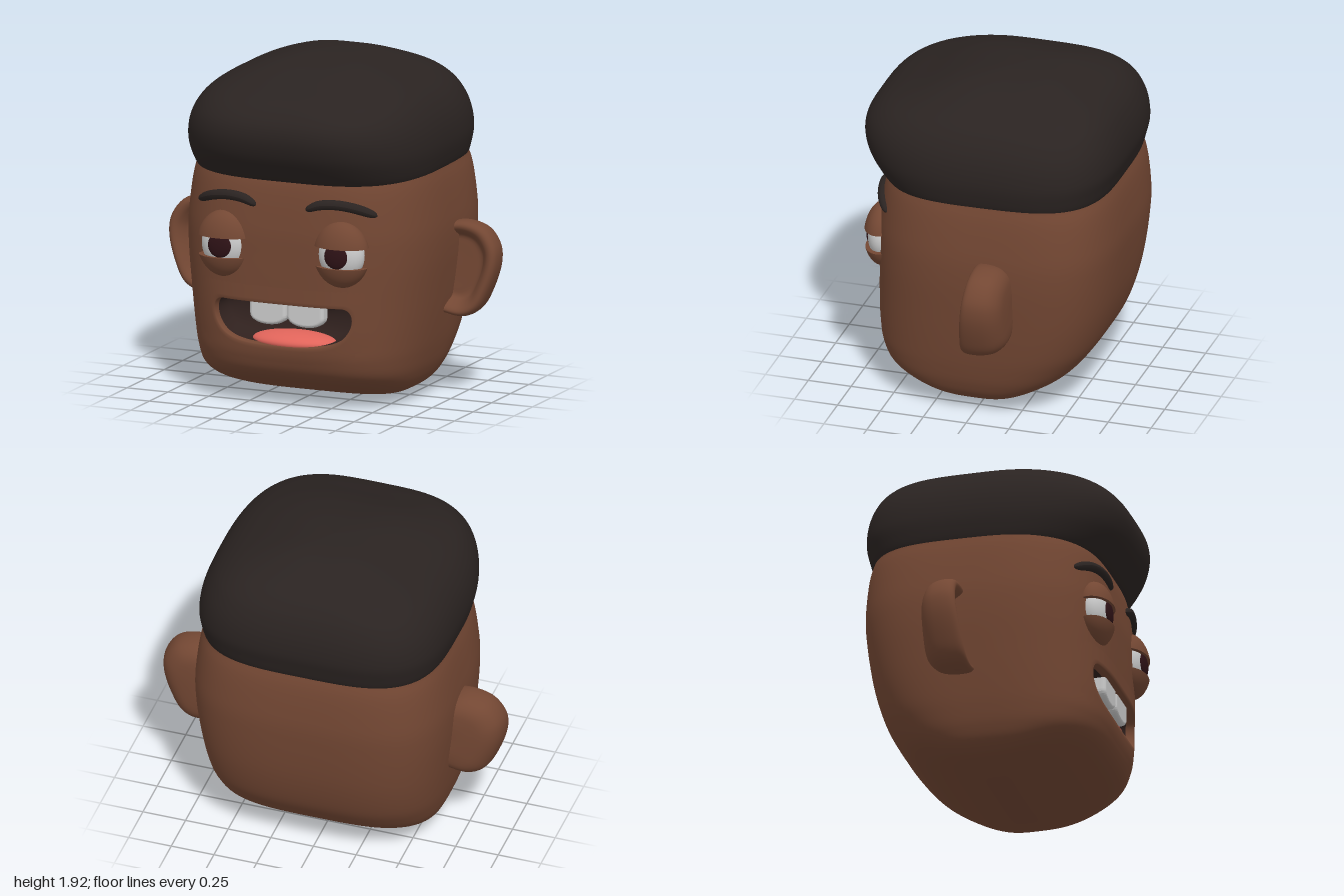
import * as THREE from 'three';

const V = (x, y, z) => new THREE.Vector3(x, y, z);
const mat = (color, side = THREE.FrontSide) => new THREE.MeshStandardMaterial({ color, side, roughness: 0.8 });
const SKIN = 0x734733, HAIR = 0x2a2321;

function add(parent, name, geometry, material) {
  const mesh = new THREE.Mesh(geometry, material);
  mesh.name = name;
  parent.add(mesh);
  return mesh;
}

// Skin closed rings of points into a smooth surface; skip(center) leaves holes
function loft(rings, skip = () => false) {
  const n = rings[0].length, index = [];
  for (let r = 0; r < rings.length - 1; r++) {
    for (let i = 0; i < n; i++) {
      const j = (i + 1) % n;
      const center = rings[r][i].clone().add(rings[r + 1][j]).multiplyScalar(0.5);
      if (skip(center)) continue;
      const a = r * n + i, b = r * n + j;
      index.push(a, a + n, b, b, a + n, b + n);
    }
  }
  const geo = new THREE.BufferGeometry().setFromPoints(rings.flat());
  geo.setIndex(index);
  geo.computeVertexNormals();
  return geo;
}

// Profile rows are [y, half width, front z, back z]
function profile(rows) {
  const a = new THREE.CatmullRomCurve3(rows.map(r => V(r[0], r[1], r[2])), false, 'catmullrom');
  const b = new THREE.CatmullRomCurve3(rows.map(r => V(r[3], 0, 0)), false, 'catmullrom');
  return t => {
    const p = a.getPoint(t);
    return { y: p.x, w: Math.max(p.y, 0), zf: p.z, zb: b.getPoint(t).x };
  };
}

// Rounded-square cross-sections, narrowing a little toward the front
const POWER = 3.5;
const taper = z => 1 - 0.25 * Math.max(z, 0) ** 2;
function sections(at, steps, sides = 144) {
  return Array.from({ length: steps + 1 }, (_, k) => {
    const { y, w, zf, zb } = at(k / steps);
    return Array.from({ length: sides }, (_, i) => {
      const th = i / sides * Math.PI * 2, c = Math.cos(th), s = Math.sin(th);
      const r = (Math.abs(c) ** POWER + Math.abs(s) ** POWER) ** (-1 / POWER);
      const z = (zf + zb) / 2 + r * s * (zf - zb) / 2;
      return V(r * c * w * taper(z), y, z);
    });
  });
}

const headAt = profile([
  [0, 0, 0.02, 0.02], [0.003, 0.25, 0.09, -0.06], [0.015, 0.38, 0.17, -0.13],
  [0.045, 0.51, 0.28, -0.22], [0.1, 0.595, 0.43, -0.34], [0.18, 0.64, 0.58, -0.47],
  [0.28, 0.668, 0.635, -0.56], [0.4, 0.69, 0.648, -0.63], [0.6, 0.717, 0.65, -0.69],
  [0.85, 0.742, 0.65, -0.727], [1.05, 0.74, 0.643, -0.735], [1.3, 0.7, 0.6, -0.7],
  [1.38, 0.62, 0.5, -0.6], [1.4, 0, 0, 0],
]);

// Depth of the face at a point seen from the front
function faceZ(x, y) {
  let lo = 0, hi = 0.9;
  for (let i = 0; i < 24; i++) {
    const m = (lo + hi) / 2;
    if (headAt(m).y < y) lo = m; else hi = m;
  }
  const { w, zf, zb } = headAt(lo);
  let z = zf;
  for (let i = 0; i < 6; i++) {
    const u = Math.min(Math.abs(x) / (w * taper(z)), 1);
    z = (zf + zb) / 2 + (zf - zb) / 2 * (1 - u ** POWER) ** (1 / POWER);
  }
  return z;
}

function buildMouth(group) {
  const shape = new THREE.Shape();
  shape.moveTo(-0.36, 0.6);
  shape.lineTo(0.36, 0.6);
  shape.bezierCurveTo(0.43, 0.6, 0.44, 0.5, 0.37, 0.43);
  shape.bezierCurveTo(0.31, 0.37, 0.2, 0.36, 0, 0.36);
  shape.bezierCurveTo(-0.2, 0.36, -0.31, 0.37, -0.37, 0.43);
  shape.bezierCurveTo(-0.44, 0.5, -0.43, 0.6, -0.36, 0.6);
  const outline = shape.getSpacedPoints(120).slice(0, 120);
  const ring = (sx, sy, depth) => outline.map(p => {
    const x = p.x * sx, y = 0.48 + (p.y - 0.48) * sy;
    return V(x, y, faceZ(x, y) + depth);
  });

  // Skin around the opening, rolling inward at the lips
  const lips = [];
  for (let k = 0; k <= 8; k++) {
    const t = k / 8;
    lips.push(ring(1.4 - 0.39 * t, 2.3 - 1.27 * t, -0.002 + 0.005 * t));
  }
  lips.push(ring(1, 1, -0.005), ring(0.99, 0.98, -0.05));
  add(group, 'lips', loft(lips), mat(SKIN));

  const cavity = [[0.99, 0.98, -0.05], [0.97, 0.97, -0.18], [0.85, 0.85, -0.26], [0, 0, -0.28]];
  add(group, 'mouthCavity', loft(cavity.map(c => ring(...c))), mat(0x30211e, THREE.DoubleSide));

  // Two rounded upper teeth
  for (const x of [-0.092, 0.136]) {
    const w = 0.092, tooth = new THREE.Shape();
    tooth.moveTo(-w, 0.06);
    tooth.lineTo(-w, -0.03);
    tooth.bezierCurveTo(-w, -0.085, w, -0.085, w, -0.03);
    tooth.lineTo(w, 0.06);
    const geo = new THREE.ExtrudeGeometry(tooth, {
      depth: 0.03, bevelSize: 0.02, bevelThickness: 0.025, bevelSegments: 6, curveSegments: 20,
    });
    add(group, 'tooth', geo, mat(0xd8d8d8)).position.set(x, 0.56, 0.56);
  }

  const tongue = add(group, 'tongue', new THREE.SphereGeometry(1, 40, 24), mat(0xe0645a));
  tongue.position.set(0.025, 0.37, 0.5);
  tongue.scale.set(0.25, 0.055, 0.14);
}

function buildEye(side) {
  const eye = new THREE.Group();
  eye.name = side > 0 ? 'leftEye' : 'rightEye';
  eye.position.set(side * 0.355, 0.91, 0.6);
  add(eye, 'eyeball', new THREE.SphereGeometry(1, 40, 28), mat(0xd0d0d0)).scale.set(0.137, 0.15, 0.09);
  const iris = add(eye, 'iris', new THREE.SphereGeometry(0.07, 32, 20), mat(0x2e1216));
  iris.position.z = 0.077;
  iris.scale.z = 0.28;
  // Eyelids are caps cut from one ellipsoid, each closed by a disc
  for (const [name, cut, up] of [['upperLid', 0.24, 1], ['lowerLid', -0.36, -1]]) {
    const lid = new THREE.Group(), th = Math.acos(cut);
    lid.name = name;
    lid.scale.set(0.165, 0.19, 0.11);
    const cap = up > 0 ? [0, th] : [th, Math.PI - th];
    add(lid, 'lidShell', new THREE.SphereGeometry(1, 40, 20, 0, Math.PI * 2, ...cap), mat(SKIN));
    const disc = add(lid, 'lidEdge', new THREE.CircleGeometry(Math.sin(th), 40), mat(SKIN));
    disc.rotation.x = up * Math.PI / 2;
    disc.position.y = cut;
    eye.add(lid);
  }
  return eye;
}

// Arched brow with tapering ends, following the face
function browGeometry() {
  const pts = [[0.15, 1.15], [0.23, 1.182], [0.33, 1.19], [0.44, 1.172], [0.545, 1.13]];
  const path = new THREE.CatmullRomCurve3(pts.map(([x, y]) => V(x, y, faceZ(x, y) + 0.005)));
  const geo = new THREE.TubeGeometry(path, 40, 0.028, 14);
  const pos = geo.attributes.position, p = V(0, 0, 0);
  for (let i = 0; i < pos.count; i++) {
    const t = Math.floor(i / 15) / 40, c = path.getPointAt(t);
    const k = Math.sqrt(Math.max(0, 1 - Math.abs(2 * t - 1) ** 5));
    p.fromBufferAttribute(pos, i).sub(c).multiplyScalar(k).add(c);
    pos.setXYZ(i, p.x, p.y, p.z);
  }
  geo.computeVertexNormals();
  return geo;
}

// Domed behind, with a raised rim and a hollow in front
function earGeometry() {
  const outline = new THREE.CatmullRomCurve3([
    [0.6, 0.94], [0.7, 0.985], [0.8, 1.0], [0.92, 0.965], [0.99, 0.87], [0.998, 0.77],
    [0.955, 0.62], [0.895, 0.51], [0.82, 0.468], [0.72, 0.475], [0.6, 0.52],
  ].map(([x, y]) => V(x, y, 0)), true).getPoints(72).slice(0, 72);
  const steps = new THREE.CatmullRomCurve3([
    [0, -0.262], [0.45, -0.26], [0.78, -0.235], [0.95, -0.17], [1, -0.09], [0.99, -0.03],
    [0.93, -0.002], [0.83, -0.008], [0.74, -0.045], [0.66, -0.09], [0.45, -0.1], [0, -0.1],
  ].map(([s, z]) => V(s, z, 0))).getPoints(44);
  return loft(steps.map(({ x: s, y: z }) => outline.map(p => {
    const y = 0.74 + (p.y - 0.74) * s;
    return V(0.69 + (p.x - 0.69) * s, y, z - 0.11 * (y - 0.47) * (1 + z / 0.262));
  })));
}

export function createModel() {
  const group = new THREE.Group();
  group.name = 'cartoonHead';

  // Head with an opening left for the mouth
  const inMouth = p => p.z > 0 && Math.abs(p.x / 0.5) ** 3 + Math.abs((p.y - 0.48) / 0.21) ** 3 < 1;
  add(group, 'head', loft(sections(headAt, 104), inMouth), mat(SKIN));
  buildMouth(group);

  // Hair cap, its lower edge rising toward the back
  const hairRings = sections(profile([
    [1.3, 0.5, 0.45, -0.5], [1.265, 0.64, 0.55, -0.66], [1.285, 0.69, 0.6, -0.695],
    [1.37, 0.716, 0.672, -0.718], [1.46, 0.725, 0.725, -0.735], [1.56, 0.712, 0.745, -0.73],
    [1.65, 0.675, 0.715, -0.705], [1.73, 0.61, 0.62, -0.66], [1.8, 0.5, 0.44, -0.58],
    [1.865, 0.33, 0.25, -0.43], [1.903, 0.17, 0.05, -0.3], [1.917, 0, -0.13, -0.13],
  ]), 66);
  for (const p of hairRings.flat()) {
    const fade = THREE.MathUtils.clamp((1.5 - p.y) / 0.23, 0, 1);
    p.y += fade * 0.03 * (0.5 - 0.5 * p.z / 0.7);
  }
  add(group, 'hair', loft(hairRings), mat(HAIR));

  // Mirrored features
  const brow = browGeometry(), ear = earGeometry();
  for (const side of [1, -1]) {
    const label = side > 0 ? 'left' : 'right';
    group.add(buildEye(side));
    add(group, label + 'Eyebrow', brow, mat(HAIR)).scale.x = side;
    add(group, label + 'Ear', ear, mat(SKIN)).scale.x = side;
  }
  return group;
}
